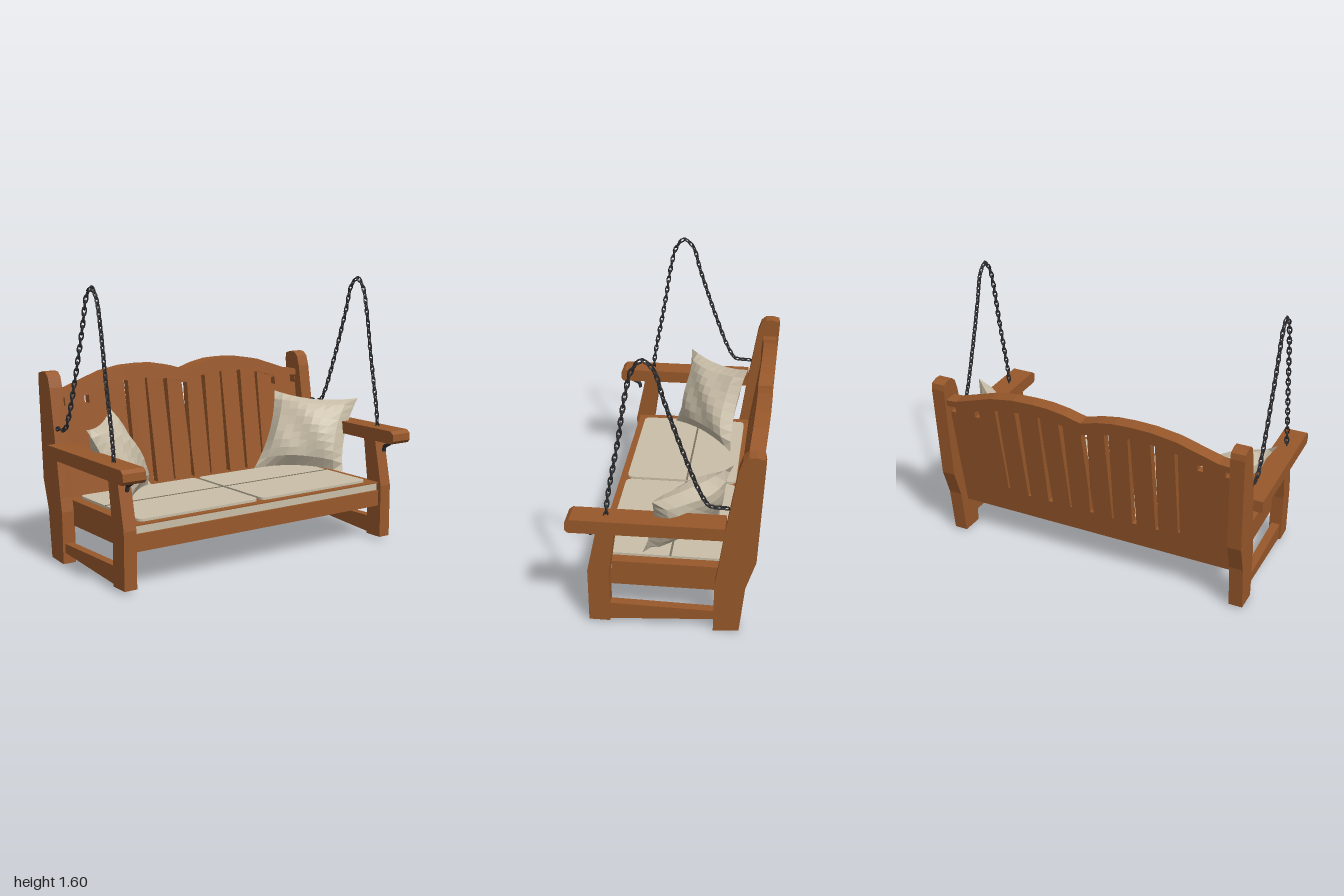
import * as THREE from 'three';
import { mergeGeometries } from 'three/addons/utils/BufferGeometryUtils.js';

const mat = (name, color) => Object.assign(new THREE.MeshStandardMaterial({ color }), { name });
const V = (x, y, z) => new THREE.Vector3(x, y, z);
const shapeOf = (pts) => new THREE.Shape(pts.map(([a, b]) => new THREE.Vector2(a, b)));
const extrude = (shape, depth) =>
  new THREE.ExtrudeGeometry(shape, { depth, bevelEnabled: false, curveSegments: 6 });

// Board cut from a side profile of [z, y] points, spanning x0..x1
function sideBoard(pts, x0, x1) {
  return extrude(shapeOf(pts), x1 - x0).rotateY(-Math.PI / 2).translate(x1, 0, 0);
}

function box(x0, x1, y0, y1, z0, z1) {
  return new THREE.BoxGeometry(x1 - x0, y1 - y0, z1 - z0)
    .translate((x0 + x1) / 2, (y0 + y1) / 2, (z0 + z1) / 2);
}

// Tilt an upright board backwards to follow the back posts
function lean(geo) {
  const p = geo.attributes.position;
  for (let i = 0; i < p.count; i++) p.setZ(i, p.getZ(i) - 0.35 - (p.getY(i) - 0.3) * 0.157);
  geo.computeVertexNormals();
  return geo;
}

// Double-arched top edge of the back
const ARCH = [[0, 1.035], [0.1, 1.065], [0.2, 1.083], [0.3, 1.087], [0.42, 1.083], [0.56, 1.06],
  [0.68, 1.02], [0.8, 0.98], [0.87, 0.975]];
const archPts = [...ARCH.slice(1).reverse().map(([x, y]) => [-x, y]), ...ARCH];
function archY(x) {
  const a = Math.abs(x);
  const i = Math.max(1, ARCH.findIndex((p) => p[0] >= a));
  const [[x0, y0], [x1, y1]] = [ARCH[i - 1], ARCH[i]];
  return y0 + ((a - x0) / (x1 - x0)) * (y1 - y0);
}

// Slots between the slats: x at top, x at bottom, top width, bottom width, bottom height
const SLOTS = [
  [0.845, 0.845, 0.035, 0.035, 0.885], [0.685, 0.685, 0.03, 0.03, 0.885],
  [0.55, 0.545, 0.02, 0.012, 0.4], [0.415, 0.41, 0.028, 0.018, 0.375],
  [0.275, 0.27, 0.014, 0.028, 0.375], [0.14, 0.135, 0.028, 0.01, 0.375],
];

function backPanel() {
  const shape = shapeOf([[-0.87, 0.215], [0.87, 0.215], ...archPts.slice().reverse().map(([x, y]) => [x, y - 0.015])]);
  const hole = (pts) => shape.holes.push(new THREE.Path(pts.map(([x, y]) => new THREE.Vector2(x, y))));
  for (const s of [-1, 1]) {
    for (const [xt, xb, wt, wb, yb] of SLOTS) {
      const yt = archY(xt) - (xt > 0.8 ? 0.042 : 0.085);
      hole([[s * xt - wt / 2, yt], [s * xt + wt / 2, yt], [s * xb + wb / 2, yb], [s * xb - wb / 2, yb]]);
    }
  }
  hole([[-0.022, 0.955], [0.018, 0.955], [0.006, 0.56], [0.012, 0.375], [-0.012, 0.375], [-0.006, 0.56]]);
  return lean(extrude(shape, 0.045).translate(0, 0, -0.0225));
}

function topRail() {
  const under = archPts.slice().reverse()
    .map(([x, y]) => [x, y - (Math.abs(x) > 0.79 ? 0.04 : 0.08)]);
  return lean(extrude(shapeOf([...archPts, ...under]), 0.085).translate(0, 0, -0.045));
}

// Stuffed pillow stretched between four corners, pinched along its edges
function pillow(a, b, c, d) {
  const n = 9;
  const normal = V().subVectors(b, a).cross(V().subVectors(d, a)).normalize();
  const pos = [];
  const point = (i, j, side) => {
    const u = (i / n) * 2 - 1, v = (j / n) * 2 - 1;
    const s = (u * (1 - 0.13 * (1 - v * v)) + 1) / 2;
    const t = (v * (1 - 0.13 * (1 - u * u)) + 1) / 2;
    const p = a.clone().lerp(b, s).lerp(d.clone().lerp(c, s), t);
    const puff = 0.1 * Math.sqrt((1 - u * u) * (1 - v * v)) * (1 + 0.1 * Math.sin(5 * u + 4 * v * side));
    return p.addScaledVector(normal, side * puff);
  };
  for (const side of [1, -1]) {
    for (let i = 0; i < n; i++) {
      for (let j = 0; j < n; j++) {
        const q = [point(i, j, side), point(i + 1, j, side), point(i + 1, j + 1, side), point(i, j + 1, side)];
        const order = side > 0 ? [0, 1, 2, 0, 2, 3] : [0, 2, 1, 0, 3, 2];
        for (const k of order) pos.push(q[k].x, q[k].y, q[k].z);
      }
    }
  }
  const geo = new THREE.BufferGeometry();
  geo.setAttribute('position', new THREE.Float32BufferAttribute(pos, 3));
  geo.computeVertexNormals();
  return geo;
}

// Chain of alternating oval links along a curve
function chain(curve, count) {
  const links = [];
  const up = V(0, 1, 0);
  for (let i = 0; i <= count; i++) {
    const q = new THREE.Quaternion().setFromUnitVectors(up, curve.getTangentAt(i / count));
    q.multiply(new THREE.Quaternion().setFromAxisAngle(up, i % 2 ? 0.3 : 0.3 + Math.PI / 2));
    links.push(new THREE.TorusGeometry(0.011, 0.0045, 5, 10).scale(1, 2.1, 1)
      .applyQuaternion(q).translate(...curve.getPointAt(i / count).toArray()));
  }
  return mergeGeometries(links);
}

// Seat cushion with rounded corners, lying flat
function cushion(x0, x1, z0, z1, y, h) {
  const r = 0.04, s = new THREE.Shape();
  s.moveTo(x0 + r, -z1).lineTo(x1 - r, -z1).quadraticCurveTo(x1, -z1, x1, -z1 + r)
    .lineTo(x1, -z0 - r).quadraticCurveTo(x1, -z0, x1 - r, -z0)
    .lineTo(x0 + r, -z0).quadraticCurveTo(x0, -z0, x0, -z0 - r)
    .lineTo(x0, -z1 + r).quadraticCurveTo(x0, -z1, x0 + r, -z1);
  return extrude(s, h).rotateX(-Math.PI / 2).translate(0, y, 0);
}

export function createModel() {
  const wood = mat('stained wood', 0x98582b);
  const fabric = mat('linen fabric', 0xc9bea8);
  const iron = mat('dark iron', 0x2d2d30);
  const seam = mat('seam grey', 0x77705f);
  const root = new THREE.Group();
  root.name = 'porchSwing';
  const add = (name, geo, material) => {
    const m = new THREE.Mesh(geo, material);
    m.name = name;
    root.add(m);
  };

  // Seat
  add('seatBase', box(-0.87, 0.87, 0.215, 0.31, -0.35, 0.4), wood);
  add('seatPad', box(-0.865, 0.865, 0.31, 0.354, -0.34, 0.385), fabric);
  add('seatTrim', box(-0.865, 0.865, 0.354, 0.36, -0.34, 0.395), wood);

  // Back
  add('backSlats', backPanel(), wood);
  add('topRail', topRail(), wood);

  const post = [[-0.26, 0], [-0.4, 0.01], [-0.43, 0.29], [-0.485, 0.46], [-0.518, 1.04], [-0.512, 1.075],
    [-0.47, 1.087], [-0.43, 1.085], [-0.4, 1.06], [-0.38, 1], [-0.315, 0.62], [-0.28, 0.38], [-0.265, 0.3]];
  const leg = [[0.305, 0.02], [0.42, 0.02], [0.42, 0.34], [0.36, 0.62], [0.262, 0.62], [0.305, 0.32]];
  const arm = [[-0.32, 0.618], [0.505, 0.612], [0.52, 0.63], [0.518, 0.672], [0.495, 0.69], [-0.32, 0.69]];
  const rail = [[-0.27, 0.065], [0.31, 0.025], [0.31, 0.128], [-0.27, 0.118]];

  for (const s of [-1, 1]) {
    const side = s > 0 ? 'left' : 'right';
    const board = (pts, x0, x1) => (s > 0 ? sideBoard(pts, x0, x1) : sideBoard(pts, -x1, -x0));

    // Wooden end frame
    add(side + 'BackPost', board(post, 0.865, 0.945), wood);
    add(side + 'FrontLeg', board(leg, 0.865, 0.942), wood);
    add(side + 'Armrest', board(arm, 0.862, 1), wood);
    add(side + 'LowerRail', board(rail, 0.88, 0.93), wood);
    add(side + 'SeatEnd', box(s * 0.85 - 0.02, s * 0.85 + 0.02, 0.22, 0.362, -0.33, 0.3), wood);

    // Cushion with its cross seam
    const [c0, c1] = s > 0 ? [0.012, 0.805] : [-0.805, -0.012];
    add(side + 'Cushion', cushion(c0, c1, -0.31, 0.352, 0.36, 0.014), fabric);
    add(side + 'CushionSeam', box(c0, c1, 0.372, 0.376, -0.018, -0.007), seam);

    // Throw pillow leaning into the corner
    const o = s > 0 ? 0.045 : 0;
    const top1 = V(s * (0.95 + o), 0.825, 0.055), top2 = V(s * (0.585 + o), 0.86, -0.335);
    const low2 = V(s * (0.36 + o), 0.39, -0.25), low1 = V(s * (0.76 + o), 0.385, 0.14);
    add(side + 'Pillow', s > 0 ? pillow(low2, low1, top1, top2) : pillow(low1, low2, top2, top1), fabric);

    // Hanging chain and the hook below the armrest
    const path = [[0.31, 0.69], [0.297, 0.8], [0.235, 1.13], [0.19, 1.4], [0.155, 1.53], [0.105, 1.583], [0.05, 1.54],
      [0, 1.38], [-0.1, 1.08], [-0.19, 0.85], [-0.235, 0.785], [-0.32, 0.775]];
    const curve = new THREE.CatmullRomCurve3(path.map(([z, y]) => V(s * 0.93, y, z)));
    add(side + 'Chain', chain(curve, 54), iron);
    const hook = new THREE.CatmullRomCurve3([V(s * 0.905, 0.612, 0.46), V(s * 0.905, 0.595, 0.43),
      V(s * 0.905, 0.58, 0.405), V(s * 0.905, 0.55, 0.398)]);
    add(side + 'Hook', new THREE.TubeGeometry(hook, 8, 0.012, 6), iron);
  }
  return root;
}
